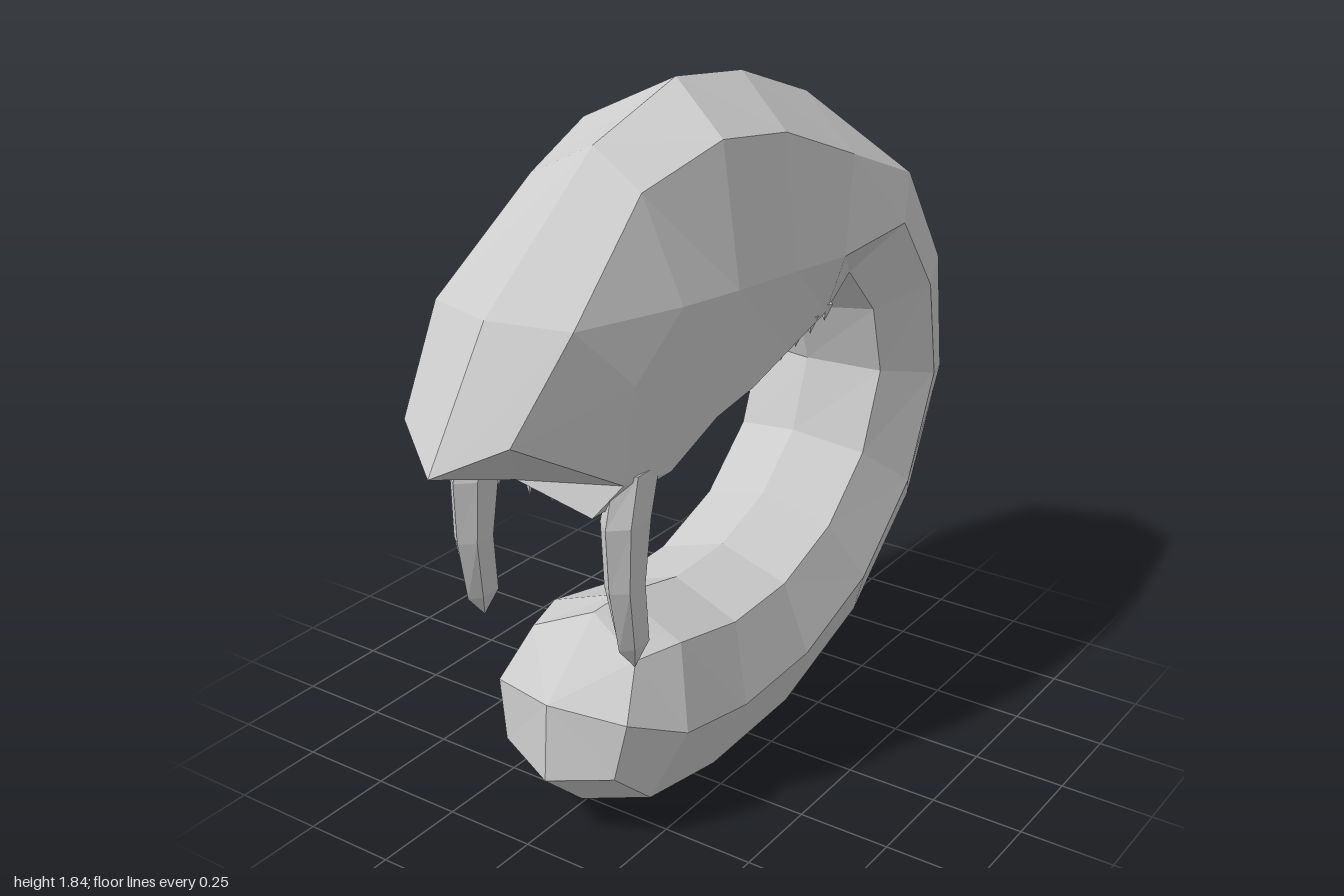
import * as THREE from 'three';

const material = new THREE.MeshStandardMaterial({ color: 0xcccccc, flatShading: true });

// Skins rings of equal point count and closes both ends with fans.
function loft(name, rings, startPoint, endPoint) {
  const pos = [];
  const tri = (...pts) => pts.forEach((p) => pos.push(...p));
  const n = rings[0].length;
  for (let j = 0; j < n; j++) {
    const k = (j + 1) % n;
    for (let s = 0; s < rings.length - 1; s++) {
      const a = rings[s], b = rings[s + 1];
      tri(a[j], b[j], a[k]);
      tri(a[k], b[j], b[k]);
    }
    const last = rings[rings.length - 1];
    tri(startPoint, rings[0][j], rings[0][k]);
    tri(endPoint, last[k], last[j]);
  }
  const geo = new THREE.BufferGeometry();
  geo.setAttribute('position', new THREE.Float32BufferAttribute(pos, 3));
  geo.computeVertexNormals();
  const mesh = new THREE.Mesh(geo, material);
  mesh.name = name;
  return mesh;
}

// Mirrored eight-point ring: outer ridge, shoulder, side, lower edge, inner ridge.
// Profile points are [z, y]; widths are for shoulder, side and lower edge.
function ring(cx, profile, widths) {
  const half = [0, ...widths, 0];
  const at = (i, sign) => [cx + sign * half[i], profile[i][1], profile[i][0]];
  return [at(0, 1), at(1, 1), at(2, 1), at(3, 1), at(4, 1), at(3, -1), at(2, -1), at(1, -1)];
}

function createBody() {
  const cx = 0.035;
  const rings = [
    // blunt tail tip
    ring(cx, [[0.715, 0.187], [0.655, 0.22], [0.64, 0.375], [0.547, 0.5], [0.504, 0.567]], [0.17, 0.2, 0.16]),
  ];
  // coiled tail: outer z, y and inner z, y
  const coil = [
    [0.57, 0.055, 0.386, 0.567],
    [0.28, 0.006, 0.145, 0.513],
    [-0.1, 0.02, -0.075, 0.52],
    [-0.493, 0.15, -0.28, 0.594],
    [-0.815, 0.422, -0.434, 0.733],
    [-1.0, 0.797, -0.504, 0.93],
    [-0.954, 1.176, -0.45, 1.1],
    [-0.75, 1.49, -0.32, 1.22],
  ];
  for (const [oz, oy, iz, iy] of coil) {
    const profile = [0, 0.13, 0.48, 0.87, 1].map((t) => [oz + (iz - oz) * t, oy + (iy - oy) * t]);
    rings.push(ring(cx, profile, [0.2, 0.27, 0.2]));
  }
  // head: centre x, profile, widths; the last profile point is the palate
  const head = [
    [0.035, [[-0.466, 1.7], [-0.38, 1.575], [-0.23, 1.35], [-0.19, 1.205], [-0.17, 1.24]], [0.2, 0.27, 0.24]],
    [0.032, [[-0.155, 1.81], [-0.05, 1.7], [0, 1.37], [0, 1.16], [0, 1.21]], [0.2, 0.268, 0.25]],
    [0.03, [[0.13, 1.845], [0.23, 1.74], [0.25, 1.39], [0.17, 1.115], [0.17, 1.16]], [0.203, 0.265, 0.255]],
    [0.01, [[0.434, 1.738], [0.466, 1.657], [0.445, 1.4], [0.305, 1.08], [0.31, 1.12]], [0.16, 0.26, 0.26]],
    [-0.015, [[0.81, 1.417], [0.745, 1.41], [0.6, 1.25], [0.465, 0.99], [0.48, 1.06]], [0.2, 0.26, 0.262]],
    [-0.033, [[1.0, 1.096], [0.9, 1.172], [0.63, 1.01], [0.67, 0.925], [0.7, 0.985]], [0.155, 0.262, 0.2]],
  ];
  for (const [x, profile, widths] of head) rings.push(ring(x, profile, widths));
  const lip = rings[rings.length - 1][4];
  return loft('body', rings, [cx, 0.396, 0.7], lip);
}

// Long six-sided fang, curved and pointed; rows are y, back z, front z, half width.
function createFang(name, x, lean) {
  const rows = [
    [1.02, 0.46, 0.63, 0.04],
    [0.9, 0.505, 0.665, 0.045],
    [0.73, 0.53, 0.655, 0.038],
    [0.56, 0.5, 0.62, 0.025],
  ];
  const rings = rows.map(([y, back, front, w]) => {
    const cx = x + lean * (1 - y);
    const mid = (back + front) / 2, d = (front - back) / 4;
    return [
      [cx, y, front], [cx - w, y, mid + d], [cx - w, y, mid - d],
      [cx, y, back], [cx + w, y, mid - d], [cx + w, y, mid + d],
    ].reverse();
  });
  return loft(name, rings, [x, 1.03, 0.55], [x + lean * 0.5, 0.49, 0.557]);
}

function createTooth(name, x, y, z, radius, height) {
  const tooth = new THREE.Mesh(new THREE.ConeGeometry(radius, height, 5), material);
  tooth.name = name;
  tooth.rotation.x = Math.PI;
  tooth.position.set(x, y - height / 2, z);
  return tooth;
}

export function createModel() {
  const group = new THREE.Group();
  group.name = 'coiledFangedCreature';
  group.add(createBody());
  group.add(createFang('rightFang', -0.262, -0.03));
  group.add(createFang('leftFang', 0.2, 0));

  // front teeth on a thin gum
  const gum = new THREE.Mesh(new THREE.BoxGeometry(0.3, 0.02, 0.06), material);
  gum.name = 'gum';
  gum.position.set(-0.05, 0.985, 0.62);
  group.add(gum);
  for (const x of [-0.155, -0.06, 0.01, 0.08]) {
    group.add(createTooth('frontTooth', x, 1.0, 0.62, 0.024, 0.095));
  }

  // small side teeth following the mouth edge
  for (const side of [-1, 1]) {
    for (let i = 0; i < 8; i++) {
      const t = i / 7;
      const x = 0.03 - 0.02 * t + side * 0.235;
      group.add(createTooth('sideTooth', x, 1.225 - 0.115 * t, -0.2 + 0.46 * t, 0.022, 0.05));
    }
  }
  return group;
}
